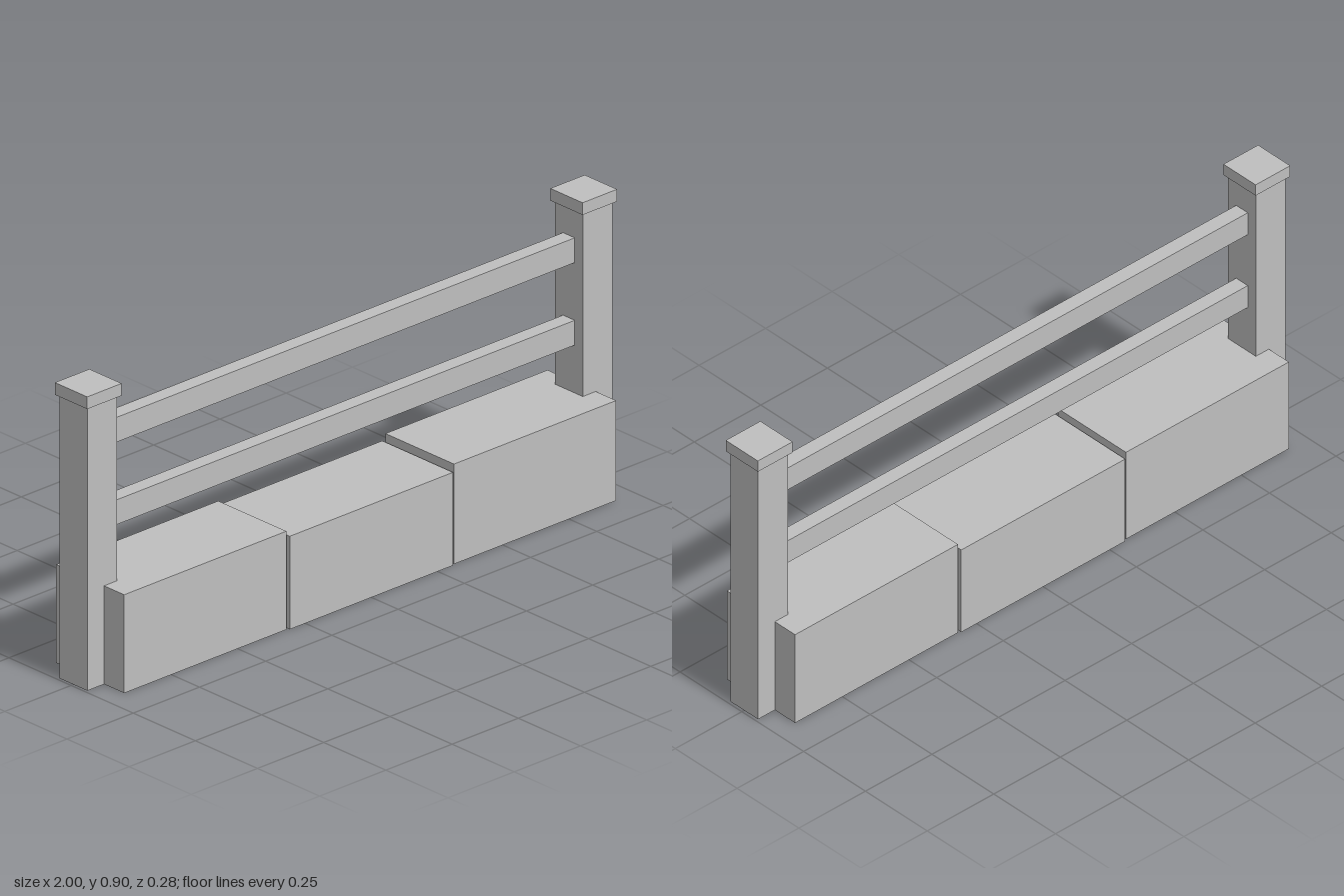
import * as THREE from 'three';

export function createModel() {
  const group = new THREE.Group();
  const grey = new THREE.MeshStandardMaterial({ color: 0xbfbfbf });
  grey.name = 'plain grey';

  // Box standing on y = bottom, centred on z = 0
  function addBox(name, x, bottom, width, height, depth) {
    const mesh = new THREE.Mesh(new THREE.BoxGeometry(width, height, depth), grey);
    mesh.name = name;
    mesh.position.set(x, bottom + height / 2, 0);
    group.add(mesh);
  }

  // Stone blocks along the base, each slightly different in size
  addBox('rightBlock', -0.622, 0, 0.612, 0.298, 0.274);
  addBox('middleBlock', 0, 0, 0.616, 0.282, 0.285);
  addBox('leftBlock', 0.622, 0, 0.612, 0.303, 0.276);

  // End posts with overhanging caps
  for (const [side, sign] of [['right', -1], ['left', 1]]) {
    addBox(side + 'Post', sign * 0.935, 0, 0.112, 0.86, 0.112);
    addBox(side + 'PostCap', sign * 0.935, 0.859, 0.13, 0.037, 0.13);
  }

  // Horizontal rails between the posts
  addBox('lowerRail', 0, 0.448, 1.76, 0.075, 0.047);
  addBox('upperRail', 0, 0.698, 1.76, 0.075, 0.047);

  return group;
}
